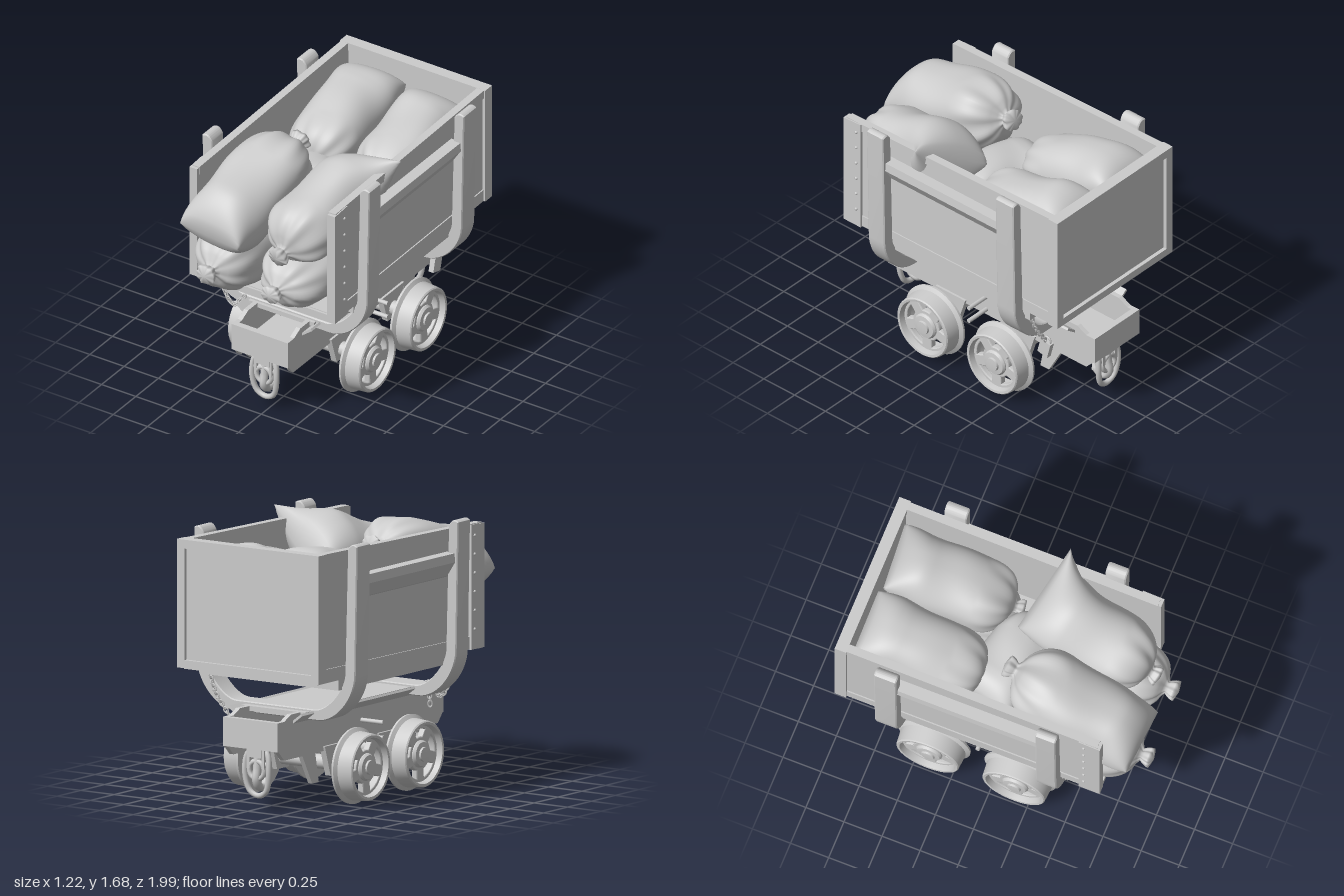
import * as THREE from 'three';
import { mergeVertices, toCreasedNormals } from 'three/addons/utils/BufferGeometryUtils.js';

const material = new THREE.MeshStandardMaterial({ color: 0xcccccc, side: THREE.DoubleSide });
const V = (x, y, z) => new THREE.Vector3(x, y, z);

function add(parent, name, geometry, x = 0, y = 0, z = 0) {
  const mesh = new THREE.Mesh(geometry, material);
  mesh.name = name;
  mesh.position.set(x, y, z);
  parent.add(mesh);
  return mesh;
}

function group(parent, name, x = 0, y = 0, z = 0) {
  const g = new THREE.Group();
  g.name = name;
  g.position.set(x, y, z);
  parent.add(g);
  return g;
}

// Box given by its limits on each axis
function block(parent, name, x0, x1, y0, y1, z0, z1) {
  return add(parent, name, new THREE.BoxGeometry(Math.abs(x1 - x0), y1 - y0, Math.abs(z1 - z0)),
    (x0 + x1) / 2, (y0 + y1) / 2, (z0 + z1) / 2);
}

// Plate with a (z, y) outline, extruded from x0 to x1
function plate(parent, name, outline, x0, x1) {
  const shape = new THREE.Shape(outline.map(p => new THREE.Vector2(...p)));
  const geo = new THREE.ExtrudeGeometry(shape, { depth: x1 - x0, bevelEnabled: false });
  return add(parent, name, geo.rotateY(-Math.PI / 2).translate(x1, 0, 0));
}

function tube(parent, name, points, radius, closed = false) {
  const curve = new THREE.CatmullRomCurve3(points, closed);
  return add(parent, name, new THREE.TubeGeometry(curve, 40, radius, 8, closed));
}

// Sack: flat sewn seam at -z (horn pulls out its +x corner), gathered and tied neck at +z
function sack(parent, name, w, h, l, pos, rot, seed, horn = 0) {
  const geo = new THREE.PlaneGeometry(1, 1, 72, 64);
  geo.deleteAttribute('uv');
  geo.deleteAttribute('normal');
  const p = geo.attributes.position;
  const pow = (c, e) => Math.sign(c) * Math.abs(c) ** e;
  for (let i = 0; i < p.count; i++) {
    const a = (p.getX(i) + 0.5) * Math.PI * 2, v = p.getY(i) + 0.5;
    const seam = Math.sqrt(1 - (1 - Math.min(v / 0.26, 1)) ** 2);
    const t = THREE.MathUtils.clamp((v - 0.62) / 0.29, 0, 1);
    let neck = 0.14 + 0.86 * Math.sqrt(1 - t ** 2.5);
    if (v > 0.91) neck = v > 0.999 ? 0 : 0.14 + 0.14 * Math.sin((v - 0.91) / 0.09 * 2);
    const gather = t * 0.06 * Math.sin(9 * a + seed) + t * 0.05 * Math.sin(5 * a - 2 * seed);
    const dents = 0.03 * Math.sin(3 * a + seed + 7 * v) + 0.025 * Math.sin(13 * v + 2 * Math.sin(a + seed));
    const r = neck * (1 + gather + dents * Math.min(1, v * 5));
    const corner = 0.98 - 0.06 * Math.exp(-v * 14);
    const pull = horn * Math.exp(-v * 7) * Math.max(0, Math.cos(a)) ** 3;
    p.setXYZ(i, pow(Math.cos(a), 0.85) * w / 2 * r * corner + pull,
      pow(Math.sin(a), 0.85) * h / 2 * r * seam, (v - 0.5) * l);
  }
  // Weld the length seam so the shading is smooth
  const welded = mergeVertices(geo, 1e-4);
  welded.computeVertexNormals();
  const mesh = add(parent, name, welded, ...pos);
  mesh.rotation.set(...rot, 'YXZ');
}

// Wheel on its own z axis: flange at z = 0, outer face at z = 0.13
function wheel(parent, x, z) {
  const g = group(parent, 'wheel', x, 0.24, z);
  g.rotation.y = Math.sign(x) * Math.PI / 2;
  const profile = [[0.17, 0], [0.235, 0], [0.236, 0.014], [0.213, 0.03], [0.205, 0.125], [0.198, 0.132],
    [0.183, 0.13], [0.17, 0.07], [0.17, 0]].map(q => new THREE.Vector2(...q));
  add(g, 'wheelRim', toCreasedNormals(new THREE.LatheGeometry(profile, 48).rotateX(Math.PI / 2), 0.6));
  const web = new THREE.Shape().absarc(0, 0, 0.178, 0, Math.PI * 2);
  for (let i = 0; i < 5; i++) {
    const a = i * Math.PI * 2 / 5 + 0.35;
    const hole = new THREE.Path();
    hole.absarc(0, 0, 0.16, a - 0.42, a + 0.42, false);
    hole.absarc(0, 0, 0.1, a + 0.3, a - 0.3, true);
    hole.closePath();
    web.holes.push(hole);
  }
  add(g, 'wheelSpokes', new THREE.ExtrudeGeometry(web,
    { depth: 0.025, bevelSize: 0.006, bevelThickness: 0.008, bevelSegments: 2, curveSegments: 32 }), 0, 0, 0.06);
  const hub = [[0, -0.065], [0.08, -0.065], [0.085, 0.1], [0.075, 0.115], [0.045, 0.118], [0.042, 0.13], [0, 0.133]];
  add(g, 'wheelHub', toCreasedNormals(new THREE.LatheGeometry(
    hub.map(q => new THREE.Vector2(...q)), 24).rotateX(Math.PI / 2), 0.6));
}

// Hanging chain of alternating links
function chain(parent, points, count) {
  const g = group(parent, 'chain');
  const curve = new THREE.CatmullRomCurve3(points);
  for (let i = 0; i < count; i++) {
    const link = add(g, 'chainLink', new THREE.TorusGeometry(0.013, 0.0045, 6, 12).scale(1, 1.6, 1));
    const u = (i + 0.5) / count;
    link.geometry.rotateY(i % 2 * Math.PI / 2);
    link.position.copy(curve.getPointAt(u));
    link.quaternion.setFromUnitVectors(V(0, 1, 0), curve.getTangentAt(u));
  }
}

// Coupling: lug, ears, hook curling inward, ring and hanging link
function coupling(parent, z, turn) {
  const g = group(parent, 'coupling', 0, 0, z);
  g.rotation.y = turn;
  block(g, 'couplingLug', -0.05, 0.05, 0.33, 0.42, -0.05, 0.035);
  for (const s of [-1, 1]) block(g, 'couplingEar', s * 0.045, s * 0.065, 0.26, 0.38, -0.03, 0.03);
  add(g, 'couplingPin', new THREE.CylinderGeometry(0.022, 0.022, 0.16, 12).rotateZ(Math.PI / 2), 0, 0.29, 0);
  add(g, 'couplingRing', new THREE.TorusGeometry(0.055, 0.016, 8, 24), 0, 0.25, 0.015);
  tube(g, 'hook', [V(0, 0.34, 0.0), V(0, 0.26, 0.01), V(0, 0.19, 0.02), V(0, 0.145, -0.01),
    V(0, 0.14, -0.055), V(0, 0.165, -0.09)], 0.027);
  add(g, 'hookTip', new THREE.ConeGeometry(0.027, 0.07, 10).rotateX(-0.35), 0, 0.187, -0.1);
  tube(g, 'hangingLink', [V(-0.065, 0.36, 0.005), V(0.065, 0.36, 0.005), V(0.09, 0.25, 0.015), V(0.06, 0.12, 0.005),
    V(0, 0.09, 0), V(-0.06, 0.12, 0.005), V(-0.09, 0.25, 0.015)], 0.018, true);
}

export function createModel() {
  const cart = new THREE.Group();
  cart.name = 'mineCartWithSacks';

  // Open-fronted body
  const body = group(cart, 'body');
  block(body, 'floor', -0.5, 0.5, 0.83, 0.875, -0.97, 0.72);
  block(body, 'floorBeam', -0.5, 0.5, 0.765, 0.83, -0.75, 0.49);
  block(body, 'frontSill', -0.52, 0.52, 0.82, 0.87, 0.68, 0.735);
  block(body, 'backPanel', -0.49, 0.49, 0.86, 1.61, -0.975, -0.935);
  block(body, 'backTopRail', -0.53, 0.53, 1.58, 1.635, -1, -0.925);
  block(body, 'backBottomRail', -0.53, 0.53, 0.84, 0.89, -1, -0.925);
  for (const s of [-1, 1]) {
    const side = (name, outline, inner, outer) =>
      plate(body, name, outline, Math.min(s * inner, s * outer), Math.max(s * inner, s * outer));
    side('sideWall', [[0.73, 0.83], [0.73, 1.59], [-0.97, 1.63], [-0.97, 0.84]], 0.475, 0.51);
    side('sideTopTrim', [[0.72, 1.545], [0.72, 1.6], [-0.95, 1.635], [-0.95, 1.58]], 0.47, 0.522);
    side('sideBottomTrim', [[0.7, 0.83], [0.7, 0.905], [-0.95, 0.92], [-0.95, 0.84]], 0.49, 0.518);
    side('frontStrip', [[0.74, 0.825], [0.74, 1.592], [0.6, 1.6], [0.6, 0.825]], 0.475, 0.53);
    block(body, 'backPost', s * 0.475, s * 0.53, 0.84, 1.63, -1, -0.925);
    for (let i = 0; i < 6; i++)
      add(body, 'rivet', new THREE.SphereGeometry(0.01, 10, 8), s * 0.53, 0.95 + i * 0.116, 0.635);
    // Chamfered rail between the two hoops
    const rail = new THREE.Shape([[0.49, 1.3], [0.53, 1.32], [0.59, 1.41], [0.585, 1.465], [0.49, 1.465]]
      .map(q => new THREE.Vector2(s * q[0], q[1])));
    add(body, 'sideRail', new THREE.ExtrudeGeometry(rail, { depth: 0.95, bevelEnabled: false }), 0, 0, -0.58);
  }

  // U-shaped hoops carrying the body
  const u = new THREE.Shape();
  u.moveTo(0.605, 1.655);
  u.lineTo(0.59, 0.86);
  u.bezierCurveTo(0.585, 0.7, 0.44, 0.56, 0.32, 0.56);
  u.lineTo(-0.32, 0.56);
  u.bezierCurveTo(-0.44, 0.56, -0.585, 0.7, -0.59, 0.86);
  u.lineTo(-0.605, 1.655);
  u.quadraticCurveTo(-0.57, 1.68, -0.545, 1.63);
  u.lineTo(-0.525, 0.86);
  u.bezierCurveTo(-0.52, 0.76, -0.39, 0.615, -0.29, 0.615);
  u.lineTo(0.29, 0.615);
  u.bezierCurveTo(0.39, 0.615, 0.52, 0.76, 0.525, 0.86);
  u.lineTo(0.545, 1.63);
  u.quadraticCurveTo(0.57, 1.68, 0.605, 1.655);
  for (const [z, depth] of [[0.355, 0.117], [-0.703, 0.13]])
    add(cart, 'hoop', toCreasedNormals(new THREE.ExtrudeGeometry(u,
      { depth, bevelSize: 0.006, bevelThickness: 0.008, bevelSegments: 1, curveSegments: 14 }), 0.5), 0, 0, z);

  // Chassis: side plates, open trays at the ends, deck in between
  const chassis = group(cart, 'chassis', -0.018, 0, 0);
  const outline = [[0.73, 0.39], [0.68, 0.33], [-0.93, 0.33], [-0.99, 0.39], [-0.99, 0.57], [-0.93, 0.57],
    [-0.86, 0.605], [0.6, 0.605], [0.67, 0.57], [0.73, 0.57]];
  for (const s of [-1, 1]) {
    plate(chassis, 'sidePlate', outline, s * 0.19 - 0.015, s * 0.19 + 0.015);
    const lip = block(chassis, 'flaredLip', s * 0.19, s * 0.28, 0.57, 0.585, -0.84, 0.58);
    lip.rotation.z = s * 0.65;
    for (const z of [0.16, -0.405])
      plate(chassis, 'axleBracket', [[z - 0.12, 0.36], [z - 0.06, 0.17], [z + 0.06, 0.17], [z + 0.12, 0.36]],
        s * 0.2 - 0.02, s * 0.2 + 0.02);
    plate(chassis, 'rearBrace', [[-0.72, 0.34], [-0.61, 0.14], [-0.54, 0.14], [-0.58, 0.34]],
      s * 0.17 - 0.015, s * 0.17 + 0.015);
  }
  block(chassis, 'deck', -0.24, 0.24, 0.575, 0.605, -0.76, 0.5);
  block(chassis, 'trayFloor', -0.19, 0.19, 0.4, 0.42, -0.97, 0.71);
  for (const [z0, z1] of [[0.7, 0.74], [-1, -0.96]])
    block(chassis, 'endPlate', -0.205, 0.205, 0.39, 0.57, z0, z1);
  for (const y of [0.37, 0.465])
    add(chassis, 'crossRod', new THREE.CylinderGeometry(0.014, 0.014, 0.74, 10).rotateZ(Math.PI / 2), 0, y, -0.12);
  for (const z of [0.16, -0.405]) {
    add(chassis, 'axle', new THREE.CylinderGeometry(0.045, 0.045, 0.72, 20).rotateZ(Math.PI / 2), 0, 0.24, z);
    for (const s of [-1, 1]) wheel(chassis, s * 0.35, z);
  }
  coupling(chassis, 0.675, 0);
  coupling(chassis, -0.915, Math.PI);

  // Chains and a hanging padlock
  chain(cart, [V(-0.48, 0.79, 0.49), V(-0.45, 0.66, 0.5), V(-0.37, 0.54, 0.5), V(-0.29, 0.62, 0.49)], 17);
  chain(cart, [V(-0.29, 0.62, 0.49), V(-0.295, 0.47, 0.5)], 6);
  chain(cart, [V(0.48, 0.8, -0.735), V(0.43, 0.66, -0.735), V(0.32, 0.5, -0.72)], 13);
  const lock = group(cart, 'padlock', 0.31, 0.44, -0.71);
  lock.rotation.x = -0.25;
  add(lock, 'lockBody', new THREE.BoxGeometry(0.035, 0.11, 0.08));
  add(lock, 'lockShackle', new THREE.TorusGeometry(0.025, 0.007, 8, 14).rotateY(Math.PI / 2), 0, 0.06, 0);

  // Load of sacks: lower layer, filler in the middle, upper layer
  const load = group(cart, 'sacks');
  sack(load, 'lowerFrontSack', 0.44, 0.42, 1.0, [-0.255, 1.025, 0.49], [0, -0.02, 0.1], 1);
  sack(load, 'lowerFrontSack', 0.46, 0.37, 1.0, [0.215, 1.03, 0.47], [0, -0.04, -0.1], 2.3);
  sack(load, 'lowerBackSack', 0.46, 0.42, 0.9, [-0.24, 1.06, -0.47], [0, 0, 0], 3.1);
  sack(load, 'lowerBackSack', 0.46, 0.42, 0.9, [0.23, 1.06, -0.47], [0, 0, 0], 4.2);
  sack(load, 'middleSack', 0.42, 0.34, 0.7, [-0.02, 1.2, -0.02], [0, 1.3, 0], 5.4);
  sack(load, 'upperBackSack', 0.46, 0.4, 0.87, [-0.24, 1.37, -0.49], [0.27, 0.02, 0.05], 6.1);
  sack(load, 'upperBackSack', 0.46, 0.4, 0.87, [0.235, 1.34, -0.49], [0.25, 0.06, -0.1], 7.5, 0.03);
  sack(load, 'upperFrontSack', 0.48, 0.44, 0.97, [-0.235, 1.4, 0.45], [-0.27, Math.PI - 0.08, 0.06], 8.2);
  sack(load, 'upperFrontSack', 0.46, 0.43, 0.9, [0.225, 1.36, 0.43], [0.3, -0.12, 0.55], 9.6, 0.17);
  return cart;
}
